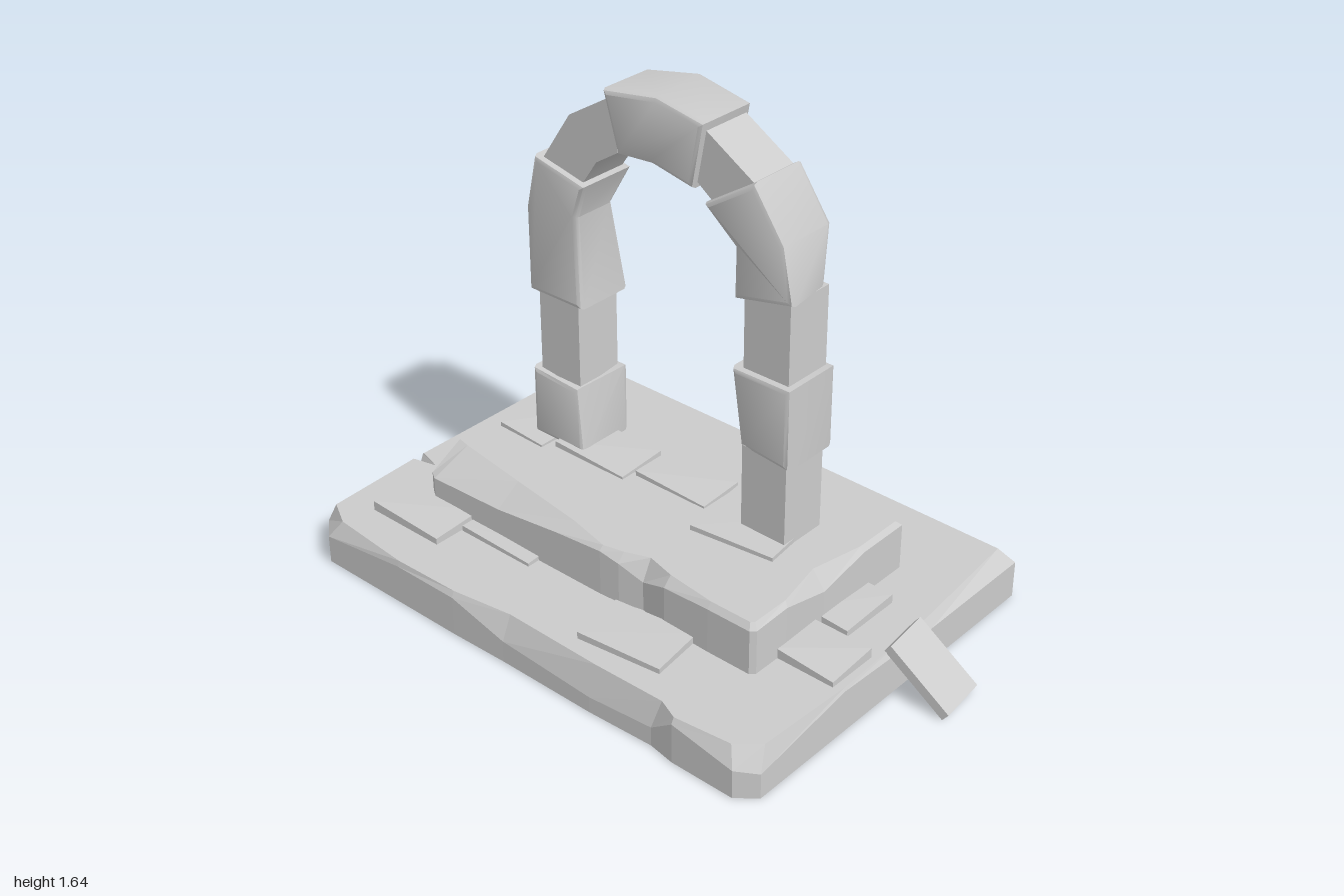
import * as THREE from 'three';
import { toCreasedNormals } from 'three/addons/utils/BufferGeometryUtils.js';

const stone = new THREE.MeshStandardMaterial({ color: 0xcccccc });

function addMesh(parent, name, geometry) {
  const mesh = new THREE.Mesh(geometry, stone);
  mesh.name = name;
  parent.add(mesh);
  return mesh;
}

// Slab with a chipped top edge. Each station, going round from the front left:
// [x, z, drop of the edge below the top, x of top edge, z of top edge]
function chippedSlab(y0, y1, stations) {
  const rings = [
    stations.map(([x, z]) => [x, y0, z]),
    stations.map(([x, z, drop]) => [x, y1 - drop, z]),
    stations.map(([, , , tx, tz]) => [tx, y1, tz]),
  ];
  const pos = [];
  const tri = (a, b, c) => pos.push(...a, ...b, ...c);
  const n = stations.length;
  for (let r = 0; r < 2; r++) {
    for (let i = 0; i < n; i++) {
      const j = (i + 1) % n;
      tri(rings[r][i], rings[r][j], rings[r + 1][j]);
      tri(rings[r][i], rings[r + 1][j], rings[r + 1][i]);
    }
  }
  const cap = (ring, up) => {
    const flat = ring.map(([x, , z]) => new THREE.Vector2(x, -z));
    for (const [a, b, c] of THREE.ShapeUtils.triangulateShape(flat, [])) {
      if (up) tri(ring[a], ring[b], ring[c]);
      else tri(ring[a], ring[c], ring[b]);
    }
  };
  cap(rings[0], false);
  cap(rings[2], true);
  const g = new THREE.BufferGeometry();
  g.setAttribute('position', new THREE.Float32BufferAttribute(pos, 3));
  g.computeVertexNormals();
  return g;
}

// Stone with the given front outline, running from zBack to zFront.
// Chips pull the vertices near a point inwards: [x, y, z, radius, dx, dy, dz]
function block(outline, zBack, zFront, bevel, chips = []) {
  const shape = new THREE.Shape(outline.map(([x, y]) => new THREE.Vector2(x, y)));
  const g = new THREE.ExtrudeGeometry(shape, {
    depth: zFront - zBack - 2 * bevel,
    bevelEnabled: bevel > 0, bevelSize: bevel, bevelThickness: bevel,
    bevelOffset: -bevel, bevelSegments: 2,
  });
  g.translate(0, 0, zBack + bevel);
  const p = g.attributes.position;
  const v = new THREE.Vector3(), c = new THREE.Vector3();
  for (const [x, y, z, radius, dx, dy, dz] of chips) {
    c.set(x, y, z);
    for (let i = 0; i < p.count; i++) {
      v.fromBufferAttribute(p, i);
      if (v.distanceTo(c) < radius) p.setXYZ(i, v.x + dx, v.y + dy, v.z + dz);
    }
  }
  return toCreasedNormals(g, 0.6);
}

const rect = (x0, x1, y0, y1) => [[x0, y0], [x1, y0], [x1, y1], [x0, y1]];

export function createModel() {
  const model = new THREE.Group();
  model.name = 'stoneArch';

  // Wide lower slab
  addMesh(model, 'baseSlab', chippedSlab(0.01, 0.165, [
    [-1, 0.58, 0.06, -0.98, 0.56], [-0.93, 0.64, 0.06, -0.89, 0.61],
    [-0.6, 0.64, 0.02, -0.6, 0.635], [-0.36, 0.64, 0.02, -0.36, 0.63],
    [-0.15, 0.635, 0.08, -0.15, 0.6], [0.2, 0.635, 0.1, 0.2, 0.605],
    [0.43, 0.625, 0.09, 0.45, 0.6], [0.52, 0.64, 0.02, 0.52, 0.63],
    [0.74, 0.64, 0.06, 0.71, 0.61], [0.8, 0.59, 0.07, 0.78, 0.55],
    [0.8, 0.22, 0.01, 0.795, 0.22], [0.8, -0.2, 0.03, 0.78, -0.2],
    [0.8, -0.64, 0.03, 0.74, -0.63], [0.1, -0.64, 0.01, 0.1, -0.635],
    [-1, -0.64, 0.005, -0.995, -0.635], [-1, 0.17, 0.005, -0.995, 0.17],
    [-1, 0.195, 0.06, -0.91, 0.195], [-1, 0.22, 0.005, -0.995, 0.215],
  ]));

  // Smaller step on top of it
  addMesh(model, 'step', chippedSlab(0.165, 0.335, [
    [-0.77, 0.33, 0.07, -0.765, 0.21], [-0.74, 0.35, 0.07, -0.72, 0.22],
    [-0.45, 0.35, 0.06, -0.45, 0.26], [-0.2, 0.35, 0.03, -0.17, 0.3],
    [-0.02, 0.35, 0.015, -0.02, 0.335], [0.05, 0.345, 0.03, 0.05, 0.32],
    [0.13, 0.325, 0.07, 0.13, 0.29], [0.23, 0.345, 0.03, 0.23, 0.315],
    [0.4, 0.35, 0.02, 0.4, 0.335], [0.555, 0.35, 0.02, 0.545, 0.335],
    [0.57, 0.335, 0.02, 0.555, 0.325], [0.57, 0.2, 0.015, 0.555, 0.19],
    [0.565, 0.02, 0.06, 0.52, 0.02], [0.57, -0.16, 0.015, 0.555, -0.16],
    [0.57, -0.35, 0.015, 0.555, -0.335], [-0.1, -0.35, 0.015, -0.1, -0.335],
    [-0.35, -0.35, 0.03, -0.35, -0.32], [-0.77, -0.35, 0.015, -0.755, -0.335],
  ]));

  // Arch: wide blocks alternate with slimmer stones
  const arch = new THREE.Group();
  arch.name = 'arch';
  model.add(arch);
  const wide = (name, pts, chips) => addMesh(arch, name, block(pts, -0.19, 0.02, 0.016, chips));
  const slim = (name, pts) => addMesh(arch, name, block(pts, -0.17, 0, 0));

  wide('leftPillarFoot', rect(-0.615, -0.4, 0.34, 0.58),
    [[-0.4, 0.58, 0.02, 0.04, -0.03, -0.02, -0.01]]);
  slim('leftPillarShaft', rect(-0.59, -0.425, 0.57, 0.87));
  wide('leftPillarHead', [[-0.615, 0.855], [-0.395, 0.855], [-0.395, 1.15], [-0.37, 1.275],
    [-0.575, 1.32], [-0.615, 1.14]],
  [[-0.395, 1.15, 0.02, 0.04, -0.03, 0, -0.02], [-0.395, 1.15, -0.19, 0.04, -0.03, 0, 0.03]]);
  slim('leftArchStone', [[-0.41, 1.25], [-0.335, 1.36], [-0.25, 1.415], [-0.26, 1.59],
    [-0.44, 1.48], [-0.56, 1.3]]);
  wide('keystone', [[-0.25, 1.4], [-0.1, 1.43], [0.05, 1.4], [0.09, 1.607],
    [-0.1, 1.645], [-0.29, 1.607]],
  [[-0.1, 1.645, 0.02, 0.04, 0, -0.015, -0.015], [-0.25, 1.4, 0.02, 0.04, 0, 0.01, -0.015]]);
  slim('rightArchStone', [[0.05, 1.42], [0.14, 1.355], [0.26, 1.475], [0.07, 1.59]]);
  wide('rightArchBlock', [[0.09, 1.37], [0.17, 1.26], [0.205, 1.11], [0.415, 1.155],
    [0.38, 1.33], [0.27, 1.487]],
  [[0.415, 1.155, -0.19, 0.04, -0.02, 0, 0.035], [0.17, 1.26, 0.02, 0.04, 0.02, 0, -0.02]]);
  slim('rightPillarTop', rect(0.23, 0.395, 0.88, 1.15));
  wide('rightPillarBlock', rect(0.2, 0.415, 0.62, 0.89),
    [[0.2, 0.62, 0.02, 0.04, 0.02, 0, -0.02]]);
  slim('rightPillarFoot', rect(0.23, 0.395, 0.335, 0.63));

  // Thin paving tiles: [x, z, width, depth, underside y, height, turn, droop of one corner]
  const tiles = [
    [-0.625, -0.08, 0.19, 0.3, 0.33, 0.02, -0.03, 0.008],
    [-0.36, -0.05, 0.29, 0.18, 0.33, 0.025, 0, 0.012],
    [-0.06, -0.085, 0.28, 0.16, 0.33, 0.022, 0, 0.01],
    [0.25, -0.04, 0.29, 0.26, 0.33, 0.022, 0.12, 0.004],
    [-0.72, 0.405, 0.29, 0.19, 0.16, 0.038, 0, 0.012],
    [-0.425, 0.345, 0.29, 0.1, 0.16, 0.024, 0, 0.008],
    [0.21, 0.44, 0.29, 0.19, 0.16, 0.028, 0.12, 0.006],
    [0.665, 0.15, 0.21, 0.18, 0.16, 0.038, 0, 0.016],
    [0.58, -0.08, 0.16, 0.22, 0.16, 0.035, 0, 0.01],
  ];
  for (const [x, z, w, d, y, h, turn, droop] of tiles) {
    const g = new THREE.BoxGeometry(w, h, d).toNonIndexed();
    const p = g.attributes.position;
    for (let i = 0; i < p.count; i++) {
      if (p.getX(i) > 0 && p.getY(i) > 0 && p.getZ(i) > 0) p.setY(i, h / 2 - droop);
    }
    g.computeVertexNormals();
    const tile = addMesh(model, 'pavingTile', g);
    tile.position.set(x, y + h / 2, z);
    tile.rotation.y = turn;
  }

  // Fallen tile leaning against the side of the slab
  const fallen = addMesh(model, 'fallenTile', new THREE.BoxGeometry(0.255, 0.032, 0.17));
  fallen.position.set(0.882, 0.1, -0.083);
  fallen.rotation.set(0, 0.1, -0.67, 'YZX');

  return model;
}
